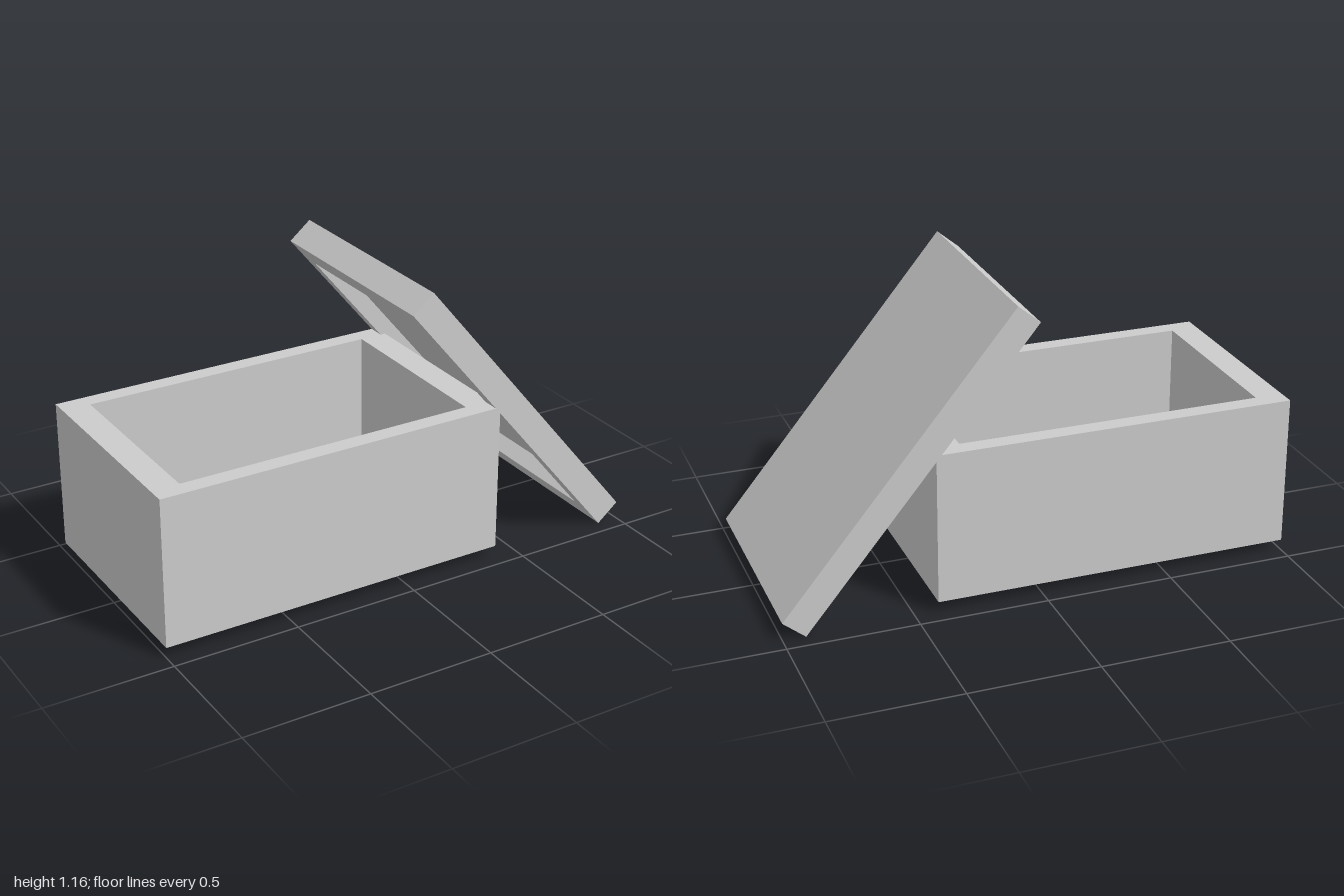
import * as THREE from 'three';

const LENGTH = 1.41, DEPTH = 0.88, INSET = 0.844;

function rectangle(Target, w, d) {
  const x = w / 2, y = d / 2;
  return new Target([[-x, -y], [x, -y], [x, y], [-x, y]].map(([a, b]) => new THREE.Vector2(a, b)));
}

// Open tray standing on its floor: a slab with a rectangular wall frame on top
function makeTray(name, height, floor) {
  const material = new THREE.MeshStandardMaterial({ color: 0xcccccc, flatShading: true });
  const tray = new THREE.Group();
  tray.name = name;

  const slab = new THREE.Mesh(new THREE.BoxGeometry(LENGTH, floor, DEPTH), material);
  slab.name = name + 'Panel';
  slab.position.y = floor / 2;

  const frame = rectangle(THREE.Shape, LENGTH, DEPTH);
  frame.holes.push(rectangle(THREE.Path, LENGTH * INSET, DEPTH * INSET));
  const wallGeometry = new THREE.ExtrudeGeometry(frame, { depth: height - floor, bevelEnabled: false });
  wallGeometry.rotateX(-Math.PI / 2);
  const walls = new THREE.Mesh(wallGeometry, material);
  walls.name = name + 'Walls';
  walls.position.y = floor;

  tray.add(slab, walls);
  return tray;
}

export function createModel() {
  const model = new THREE.Group();
  model.name = 'openBox';

  // Box body
  const body = makeTray('body', 0.592, 0.09);
  body.position.set(-0.295, 0.045, 0);

  // Lid: a shallow tray, hollow side down, leaning on the body's edge
  const thickness = 0.111;
  const lidTray = makeTray('lid', thickness, 0.045);
  lidTray.rotation.x = Math.PI;
  lidTray.position.y = thickness / 2;
  const lid = new THREE.Group();
  lid.name = 'leaningLid';
  lid.add(lidTray);
  lid.rotation.z = THREE.MathUtils.degToRad(-50.5);
  lid.position.set(0.507, 0.582, 0);

  model.add(body, lid);
  return model;
}
